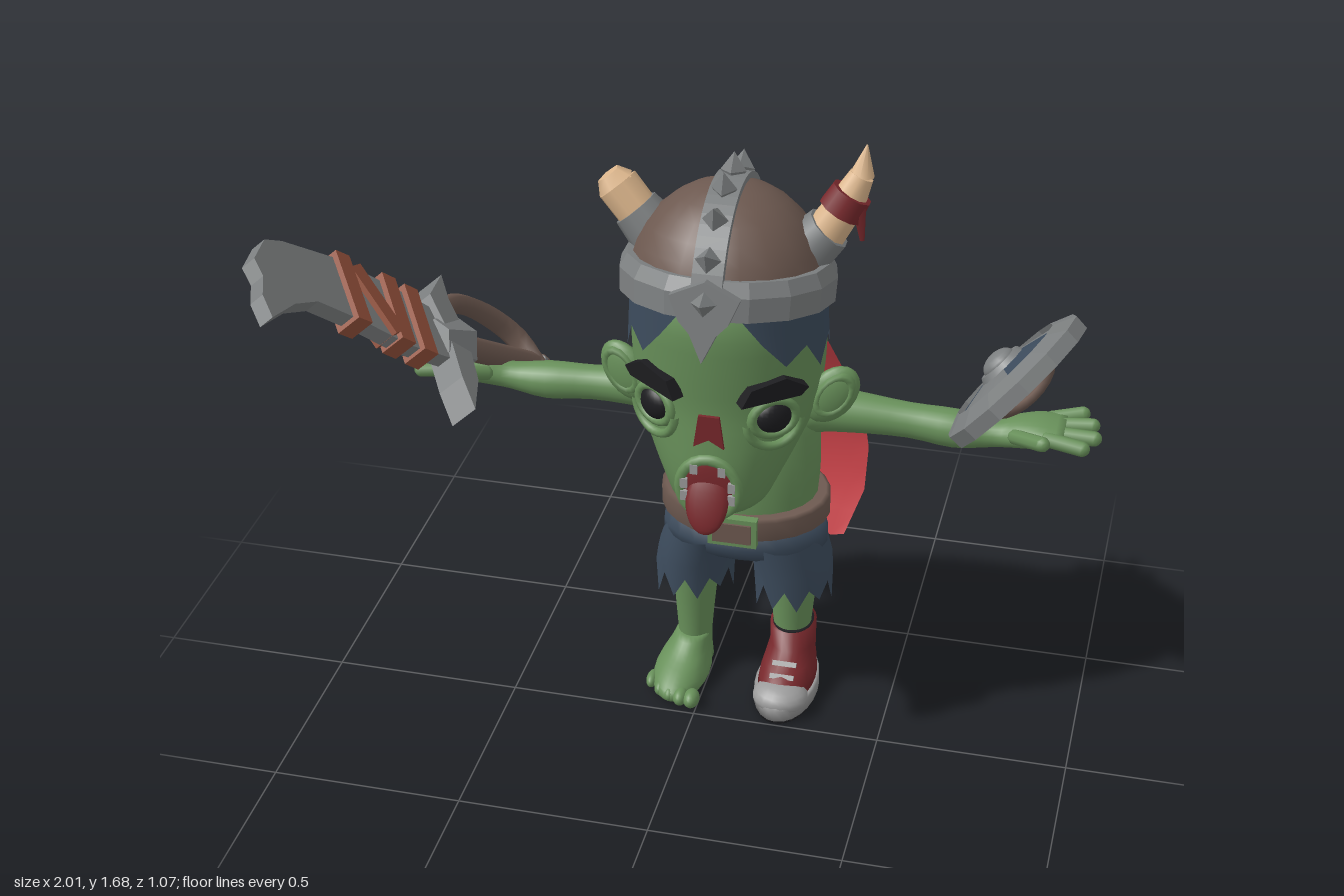
import * as THREE from 'three';

const mat = (name, color, side = THREE.FrontSide) => {
  const m = new THREE.MeshStandardMaterial({ color, side });
  m.name = name;
  return m;
};
const M = {
  skin: mat('green skin', 0x68905a), cape: mat('cape red', 0xcc444a, THREE.DoubleSide),
  darkRed: mat('dark red', 0x78282c), brown: mat('dull brown', 0x6d5950),
  leather: mat('orange leather', 0x93503a), steel: mat('steel grey', 0x7c7f80),
  cloth: mat('dark blue cloth', 0x3c4b5c, THREE.DoubleSide), black: mat('black', 0x1c1c1f),
  horn: mat('horn cream', 0xdcb68c), pale: mat('pale grey', 0x9c9c9c),
};
const CX = 0.085; // middle of the body
const V = (x, y, z) => new THREE.Vector3(x, y, z);
const flat = g => { const f = g.index ? g.toNonIndexed() : g; f.computeVertexNormals(); return f; };
const lathe = (pts, ...rest) => new THREE.LatheGeometry(pts.map(q => new THREE.Vector2(...q)), ...rest);

function add(parent, name, geo, m, pos = [0, 0, 0], rot = [0, 0, 0], scale = [1, 1, 1]) {
  const mesh = new THREE.Mesh(geo, m);
  mesh.name = name;
  mesh.position.set(...pos); mesh.rotation.set(...rot); mesh.scale.set(...scale);
  parent.add(mesh);
  return mesh;
}
const ball = (parent, name, m, pos, scale, rot) =>
  add(parent, name, new THREE.SphereGeometry(1, 18, 12), m, pos, rot, scale);

// Adds in-between rings along a smooth curve
function smooth(rings) {
  const curve = f => new THREE.CatmullRomCurve3(rings.map(f), false, 'catmullrom', 0.5);
  const a = curve(r => V(r[0], r[1], r[2])), b = curve(r => V(r[3], r[4], 0)), n = (rings.length - 1) * 3;
  return Array.from({ length: n + 1 }, (_, i) => {
    const p = a.getPoint(i / n), q = b.getPoint(i / n);
    return [p.x, p.y, p.z, q.x, q.y];
  });
}
// Elliptical rings [y, cx, cz, rx, rz] stacked upwards; the optional hem lowers the first ring
function loft(rings, { seg = 24, capped = true, hem = null } = {}) {
  const p = [], idx = [], n = rings.length;
  rings.forEach(([y, cx, cz, rx, rz], i) => {
    for (let j = 0; j < seg; j++) {
      const a = j / seg * Math.PI * 2;
      p.push(cx + Math.sin(a) * rx, y - (hem && i === 0 ? hem(j, a) : 0), cz + Math.cos(a) * rz);
    }
  });
  for (let i = 0; i < n - 1; i++) for (let j = 0; j < seg; j++) {
    const a = i * seg + j, b = i * seg + (j + 1) % seg;
    idx.push(a, b, a + seg, b, b + seg, a + seg);
  }
  if (capped) {
    const [f, l] = [rings[0], rings[n - 1]], c = n * seg;
    p.push(f[1], f[0], f[2], l[1], l[0], l[2]);
    for (let j = 0; j < seg; j++) {
      const k = (j + 1) % seg;
      idx.push(c, k, j, c + 1, (n - 1) * seg + j, (n - 1) * seg + k);
    }
  }
  const g = new THREE.BufferGeometry();
  g.setAttribute('position', new THREE.Float32BufferAttribute(p, 3));
  g.setIndex(idx); g.computeVertexNormals();
  return g;
}
function rod(parent, name, m, a, b, r0, r1, sides = 10) {
  const d = b.clone().sub(a), mesh = add(parent, name, new THREE.CylinderGeometry(r1, r0, d.length(), sides), m);
  mesh.position.copy(a).add(b).multiplyScalar(0.5);
  mesh.quaternion.setFromUnitVectors(V(0, 1, 0), d.normalize());
  return mesh;
}
function finger(parent, name, m, a, b, r) {
  const mesh = rod(parent, name, m, a, b, r, r);
  mesh.geometry = new THREE.CapsuleGeometry(r, a.distanceTo(b), 4, 8);
}
function plate(points, depth) {
  const g = new THREE.ExtrudeGeometry(new THREE.Shape(points.map(q => new THREE.Vector2(...q))), { depth, bevelEnabled: false });
  return g.translate(0, 0, -depth / 2);
}

function buildBody(root) {
  const g = new THREE.Group(); g.name = 'body'; root.add(g);
  add(g, 'torso', loft(smooth([[0.48, CX, -0.25, 0.18, 0.14], [0.58, CX, -0.245, 0.19, 0.14], [0.7, CX, -0.245, 0.198, 0.137],
    [0.8, CX, -0.25, 0.19, 0.132], [0.87, CX, -0.25, 0.165, 0.12], [0.92, CX, -0.22, 0.12, 0.11], [1, CX, -0.14, 0.1, 0.09]])), M.skin);
  add(g, 'belt', loft([[-0.036, 0, 0, 0.215, 0.157], [-0.028, 0, 0, 0.226, 0.166], [0.028, 0, 0, 0.226, 0.166], [0.036, 0, 0, 0.215, 0.157]]),
    M.brown, [CX, 0.565, -0.245], [0.1, 0, 0]);
  add(g, 'buckle', new THREE.BoxGeometry(0.13, 0.082, 0.025), M.skin, [CX, 0.55, -0.083]);
  add(g, 'bucklePlate', new THREE.BoxGeometry(0.102, 0.056, 0.009), M.brown, [CX, 0.55, -0.069]);
  // trousers with torn hems
  add(g, 'hips', loft([[0.425, CX, -0.245, 0.19, 0.11], [0.45, CX, -0.245, 0.222, 0.143], [0.48, CX, -0.247, 0.222, 0.153], [0.54, CX, -0.245, 0.205, 0.15]]), M.cloth);
  for (const s of [-1, 1]) {
    const x = CX + s * 0.135;
    add(g, 'trouserLeg', loft([[0.345, x, -0.235, 0.105, 0.125], [0.4, x - s * 0.005, -0.242, 0.104, 0.14], [0.48, x - s * 0.025, -0.247, 0.1, 0.15]],
      { capped: false, seg: 20, hem: j => (j % 2) * (0.04 + 0.02 * (j % 3)) - 0.01 }), M.cloth);
    add(g, 'leg', loft(smooth([[0.03, x, -0.235, 0.05, 0.06], [0.1, x, -0.235, 0.045, 0.055], [0.2, x, -0.235, 0.052, 0.06],
      [0.3, x, -0.24, 0.06, 0.075], [0.45, x, -0.24, 0.07, 0.09]])), M.skin);
    // arm: rings laid along x, then hand
    const ring = ([d, y, z, rv, rz]) => [d, s * -y, z, rv, rz];
    add(g, 'arm', loft(smooth([[0.08, 0.82, -0.262, 0.08, 0.1], [0.18, 0.838, -0.268, 0.062, 0.068], [0.28, 0.84, -0.27, 0.054, 0.056],
      [0.42, 0.835, -0.27, 0.046, 0.046], [0.54, 0.83, -0.265, 0.05, 0.052], [0.64, 0.83, -0.265, 0.036, 0.04],
      [0.7, 0.845, -0.265, 0.038, 0.06], [0.76, 0.855, -0.265, 0.036, 0.075], [0.82, 0.862, -0.265, 0.022, 0.07]].map(ring)))
      .rotateZ(-s * Math.PI / 2), M.skin, [CX, 0, 0]);
    for (const [z0, z1, d1, y1] of [[-0.21, -0.195, 0.87, 0.855], [-0.245, -0.24, 0.895, 0.862], [-0.285, -0.29, 0.885, 0.87], [-0.318, -0.335, 0.855, 0.875]])
      finger(g, 'finger', M.skin, V(CX + s * 0.78, 0.862, z0), V(CX + s * d1, y1, z1), 0.02);
    finger(g, 'thumb', M.skin, V(CX + s * 0.7, 0.855, -0.215), V(CX + s * 0.775, 0.89, -0.135), 0.02);
  }
}

function buildFeet(root) {
  const bare = new THREE.Group(); bare.name = 'bareFoot'; root.add(bare);
  add(bare, 'foot', loft(smooth([[0.004, -0.07, -0.165, 0.06, 0.13], [0.018, -0.07, -0.165, 0.074, 0.145], [0.04, -0.069, -0.168, 0.074, 0.142],
    [0.065, -0.066, -0.185, 0.064, 0.118], [0.09, -0.06, -0.21, 0.054, 0.085], [0.125, -0.052, -0.232, 0.045, 0.058]])), M.skin);
  for (let i = 0; i < 5; i++)
    ball(bare, 'toe', M.skin, [-0.014 - i * 0.031, 0.026, -0.034 - i * i * 0.004], [0.022 - i * 0.0015, 0.024 - i * 0.001, 0.033]);
  const shoe = new THREE.Group(); shoe.name = 'shoe'; root.add(shoe);
  const x = 0.222;
  add(shoe, 'outsole', loft([[0.004, x, -0.163, 0.082, 0.158], [0.013, x, -0.163, 0.085, 0.162]]), M.black);
  add(shoe, 'midsole', loft([[0.013, x, -0.163, 0.085, 0.162], [0.045, x, -0.163, 0.084, 0.162], [0.05, x, -0.163, 0.078, 0.155]]), M.pale);
  add(shoe, 'upper', loft([[0.045, x, -0.17, 0.077, 0.15], [0.075, x, -0.18, 0.074, 0.14], [0.105, x, -0.205, 0.066, 0.115],
    [0.13, x, -0.24, 0.061, 0.082], [0.188, x, -0.24, 0.062, 0.08]]), M.darkRed);
  ball(shoe, 'toeCap', M.pale, [x, 0.048, -0.075], [0.075, 0.042, 0.068]);
  add(shoe, 'collar', loft([[0.184, x, -0.24, 0.055, 0.072], [0.192, x, -0.24, 0.055, 0.072]]), M.black);
  for (let i = 0; i < 2; i++)
    add(shoe, 'lace', new THREE.BoxGeometry(0.065, 0.014, 0.02), M.pale, [x, 0.095 + i * 0.018, -0.092 - i * 0.035], [-0.7, 0, 0]);
}

function buildHead(root) {
  const g = new THREE.Group(); g.name = 'head'; g.position.x = CX; root.add(g);
  const rows = [[0.745, 0.14, -0.05, 0.085], [0.77, 0.182, -0.09, 0.12], [0.83, 0.198, -0.13, 0.15], [0.9, 0.2, -0.18, 0.183], [0.98, 0.194, -0.22, 0.216],
    [1.06, 0.19, -0.24, 0.235], [1.18, 0.2, -0.242, 0.242], [1.3, 0.2, -0.225, 0.235], [1.42, 0.14, -0.16, 0.16]];
  add(g, 'skull', loft(smooth(rows.map(([y, f, b, r]) => [y, 0, (f + b) / 2, r, (f - b) / 2])), { seg: 32 }), M.skin);
  // hair hangs in points at the sides only
  const hem = (j, a) => Math.cos(a) < -0.6 || Math.cos(a) > 0.9 ? -0.04 : Math.abs(Math.sin(a)) * (0.08 + 0.075 * (j % 2)) + 0.005;
  add(g, 'hair', loft([[1.3, 0, -0.015, 0.25, 0.224], [1.37, 0, -0.015, 0.24, 0.22]], { capped: false, hem }), M.cloth);
  for (const s of [-1, 1]) {
    ball(g, 'eye', M.black, [s * 0.148, 1.042, 0.14], [0.046, 0.042, 0.025], [0, s * 0.6, 0]);
    add(g, 'eyelid', new THREE.TorusGeometry(0.052, 0.012, 8, 20), M.skin, [s * 0.148, 1.041, 0.142], [0, s * 0.6, 0], [1.1, 0.9, 1]);
    add(g, 'eyeBag', new THREE.TorusGeometry(0.07, 0.012, 8, 14, Math.PI), M.skin, [s * 0.148, 1.03, 0.138], [0, s * 0.6, Math.PI]);
    add(g, 'brow', plate([[0.085, -0.028], [-0.07, -0.02], [-0.09, 0.0], [-0.03, 0.034], [0.06, 0.016]].map(([a, b]) => [-a * s, b]), 0.035),
      M.black, [s * 0.145, 1.125, 0.155], [0, s * 0.6, 0]);
    ball(g, 'ear', M.skin, [s * 0.262, 1.035, -0.012], [0.06, 0.085, 0.03], [0, s * 0.25, -s * 0.6]);
    add(g, 'earFold', new THREE.TorusGeometry(0.045, 0.01, 6, 16), M.skin, [s * 0.27, 1.043, 0.006], [0, s * 0.25, -s * 0.6], [0.8, 1.25, 1]);
  }
  add(g, 'noseHole', plate([[-0.038, 0.968], [0, 0.99], [0.038, 0.968], [0.026, 1.055], [-0.026, 1.055]], 0.009), M.darkRed, [0, 0, 0.197]);
  // open mouth with teeth and hanging tongue
  ball(g, 'mouthHollow', M.darkRed, [0, 0.855, 0.196], [0.068, 0.078, 0.012]);
  add(g, 'lips', new THREE.TorusGeometry(0.07, 0.013, 8, 24), M.skin, [0, 0.852, 0.198], [0, 0, 0], [1.05, 1.15, 1]);
  for (const [x, y] of [[-0.035, 0.908], [0.035, 0.908], [-0.06, 0.83], [0.06, 0.83], [-0.06, 0.865], [0.06, 0.865]])
    add(g, 'tooth', new THREE.BoxGeometry(0.018, 0.026, 0.018), M.pale, [x, y, 0.203]);
  ball(g, 'tongue', M.darkRed, [0, 0.824, 0.212], [0.054, 0.086, 0.018], [-0.4, 0, 0]);
}

function buildHelmet(root) {
  const g = new THREE.Group(); g.name = 'helmet'; root.add(g);
  g.position.set(CX, 1.3, 0); g.rotation.x = -0.17;
  add(g, 'dome', new THREE.SphereGeometry(0.245, 20, 8, 0, Math.PI * 2, 0, Math.PI / 2), M.brown, [0, 0.02, 0], [0, 0, 0], [1, 1.06, 0.97]);
  const band = [[0.235, 0], [0.265, 0], [0.268, 0.06], [0.25, 0.095], [0.23, 0.095], [0.235, 0]];
  add(g, 'rim', flat(lathe(band, 16)), M.steel, [0, 0, 0], [0, 0, 0], [1, 1, 0.96]);
  const arch = new THREE.Shape();
  arch.absarc(0, 0, 0.262, 0, Math.PI, false); arch.absarc(0, 0, 0.225, Math.PI, 0, true);
  add(g, 'crest', new THREE.ExtrudeGeometry(arch, { depth: 0.075, bevelEnabled: false, curveSegments: 14 }).translate(0, 0, -0.0375)
    .rotateY(Math.PI / 2), M.steel, [0, 0.02, 0], [0, 0, 0], [1, 1.04, 0.97]);
  for (let i = 0; i < 9; i++) {
    const a = 0.1 + i * 0.37;
    add(g, 'spike', flat(new THREE.OctahedronGeometry(1)), M.steel,
      [0, 0.02 + Math.sin(a) * 0.278, Math.cos(a) * 0.27], [Math.PI / 2 - a, 0, 0], [0.032, 0.046, 0.032]);
  }
  add(g, 'noseGuard', plate([[-0.085, 0.06], [-0.06, 0.0], [-0.032, -0.03], [0, -0.1], [0.032, -0.03], [0.06, 0], [0.085, 0.06], [0, 0.1]], 0.04),
    M.steel, [0, 0, 0.25]);
  // horns: one whole with a tied rag, one snapped off
  const h = new THREE.Group(); h.name = 'horns'; root.add(h);
  for (const s of [-1, 1]) rod(h, 'hornSocket', M.steel, V(CX + s * 0.18, 1.41, -0.03), V(CX + s * 0.238, 1.475, -0.037), 0.07, 0.06, 10);
  const path = [V(0.315, 1.465, -0.035), V(0.362, 1.54, -0.045), V(0.393, 1.61, -0.06), V(0.402, 1.685, -0.07)];
  const radii = [0.052, 0.046, 0.031, 0.002];
  for (let i = 0; i < 3; i++) rod(h, 'hornPart', M.horn, path[i], path[i + 1], radii[i], radii[i + 1], 10);
  rod(h, 'hornRag', M.darkRed, V(0.348, 1.52, -0.042), V(0.374, 1.568, -0.05), 0.057, 0.052, 10);
  rod(h, 'ragEnd', M.darkRed, V(0.395, 1.54, -0.03), V(0.405, 1.455, -0.03), 0.018, 0.006, 5);
  rod(h, 'brokenHorn', M.horn, V(-0.145, 1.465, -0.035), V(-0.2, 1.528, -0.045), 0.053, 0.054, 9);
  rod(h, 'brokenTip', M.horn, V(-0.2, 1.528, -0.045), V(-0.222, 1.555, -0.045), 0.054, 0.032, 5);
}

function buildCape(root) {
  const geo = new THREE.PlaneGeometry(2, 1, 12, 10), p = geo.attributes.position;
  const half = [0.18, 0.22, 0.265, 0.28, 0.275, 0.23], depth = [-0.425, -0.485, -0.525, -0.54, -0.525, -0.485];
  for (let i = 0; i < p.count; i++) {
    const u = p.getX(i), v = 0.5 - p.getY(i), k = Math.min(4, Math.floor(v * 5)), f = v * 5 - k;
    const lerp = a => a[k] + (a[k + 1] - a[k]) * f;
    const tear = v > 0.99 ? (Math.round((u + 1) * 6) % 2) * 0.014 : 0;
    p.setXYZ(i, CX + u * lerp(half), 0.965 - 0.63 * v - tear, lerp(depth) + 0.025 * u * u);
  }
  geo.computeVertexNormals();
  add(root, 'cape', geo, M.cape);
}

function buildShield(root) {
  const g = new THREE.Group(); g.name = 'shield'; root.add(g);
  g.position.set(0.77, 0.985, -0.275); g.rotation.set(-0.17, 0, 0.88, 'ZYX');
  add(g, 'back', flat(new THREE.CylinderGeometry(0.2, 0.2, 0.02, 14)), M.steel);
  add(g, 'rim', flat(lathe([[0.165, -0.022], [0.222, -0.024], [0.224, 0.016], [0.165, 0.04], [0.165, -0.022]], 14)), M.steel);
  for (let i = 0; i < 4; i++)
    add(g, 'quarter', lathe([[0.185, 0.022], [0.06, 0.05], [0, 0.055]], 4, i * Math.PI / 2 + 0.4, Math.PI / 2), i % 2 ? M.steel : M.cloth);
  add(g, 'bossRing', new THREE.CylinderGeometry(0.06, 0.075, 0.025, 12), M.steel, [0, 0.05, 0]);
  ball(g, 'boss', M.steel, [0, 0.06, 0], [0.048, 0.03, 0.048]);
  add(g, 'strap', new THREE.TorusGeometry(0.085, 0.03, 6, 12, Math.PI), M.brown, [0, -0.01, 0], [0, 0.5, Math.PI], [1, 0.55, 1.6]);
}

function buildSword(root) {
  const g = new THREE.Group(); g.name = 'sword'; root.add(g);
  const along = V(-0.337, 0.53, 0.778).normalize(), across = V(0.578, -0.538, 0.617).normalize();
  g.quaternion.setFromRotationMatrix(new THREE.Matrix4().makeBasis(across, along, across.clone().cross(along)));
  g.position.set(-0.51, 0.745, -0.47);
  add(g, 'blade', plate([[-0.08, 0.48], [0.07, 0.5], [0.055, 0.7], [0.01, 0.86], [-0.02, 1.02], [0.005, 1.12], [0.064, 1.235], [0, 1.235],
    [-0.06, 1.2], [-0.11, 1.205], [-0.18, 1.13], [-0.19, 1.06], [-0.18, 0.86], [-0.13, 0.66]], 0.042), M.steel);
  for (const [u, s, w, tilt] of [[-0.03, 0.62, 0.21, 0.2], [-0.05, 0.7, 0.21, 0.2], [-0.065, 0.775, 0.2, -0.35], [-0.085, 0.86, 0.21, 0.15]])
    add(g, 'bladeWrap', new THREE.BoxGeometry(w, 0.05, 0.072), M.leather, [u, s, 0], [0, 0, tilt]);
  add(g, 'guard', plate([[-0.2, 0.43], [-0.12, 0.45], [0, 0.445], [0.14, 0.49], [0.24, 0.57], [0.14, 0.56], [0, 0.525], [-0.12, 0.53]], 0.08), M.steel);
  add(g, 'guardCollar', flat(new THREE.CylinderGeometry(0.045, 0.06, 0.1, 6)), M.steel, [0, 0.49, 0], [0, 0, 0], [1.3, 1, 1.15]);
  add(g, 'grip', new THREE.CylinderGeometry(0.034, 0.03, 0.42, 8), M.brown, [0, 0.26, 0]);
  const bow = new THREE.CatmullRomCurve3([V(0.02, 0.08, 0), V(-0.08, 0.12, 0), V(-0.14, 0.23, 0), V(-0.15, 0.35, 0), V(-0.11, 0.47, 0)]);
  add(g, 'knuckleBow', new THREE.TubeGeometry(bow, 14, 0.024, 6), M.brown, [0, 0, 0], [0, 0, 0], [1, 1, 1.4]);
  add(g, 'pommel', flat(new THREE.CylinderGeometry(0.036, 0.012, 0.09, 6)), M.steel, [0, 0.035, 0]);
}

export function createModel() {
  const root = new THREE.Group();
  root.name = 'goblinWarrior';
  for (const build of [buildBody, buildFeet, buildHead, buildHelmet, buildCape, buildShield, buildSword]) build(root);
  return root;
}
